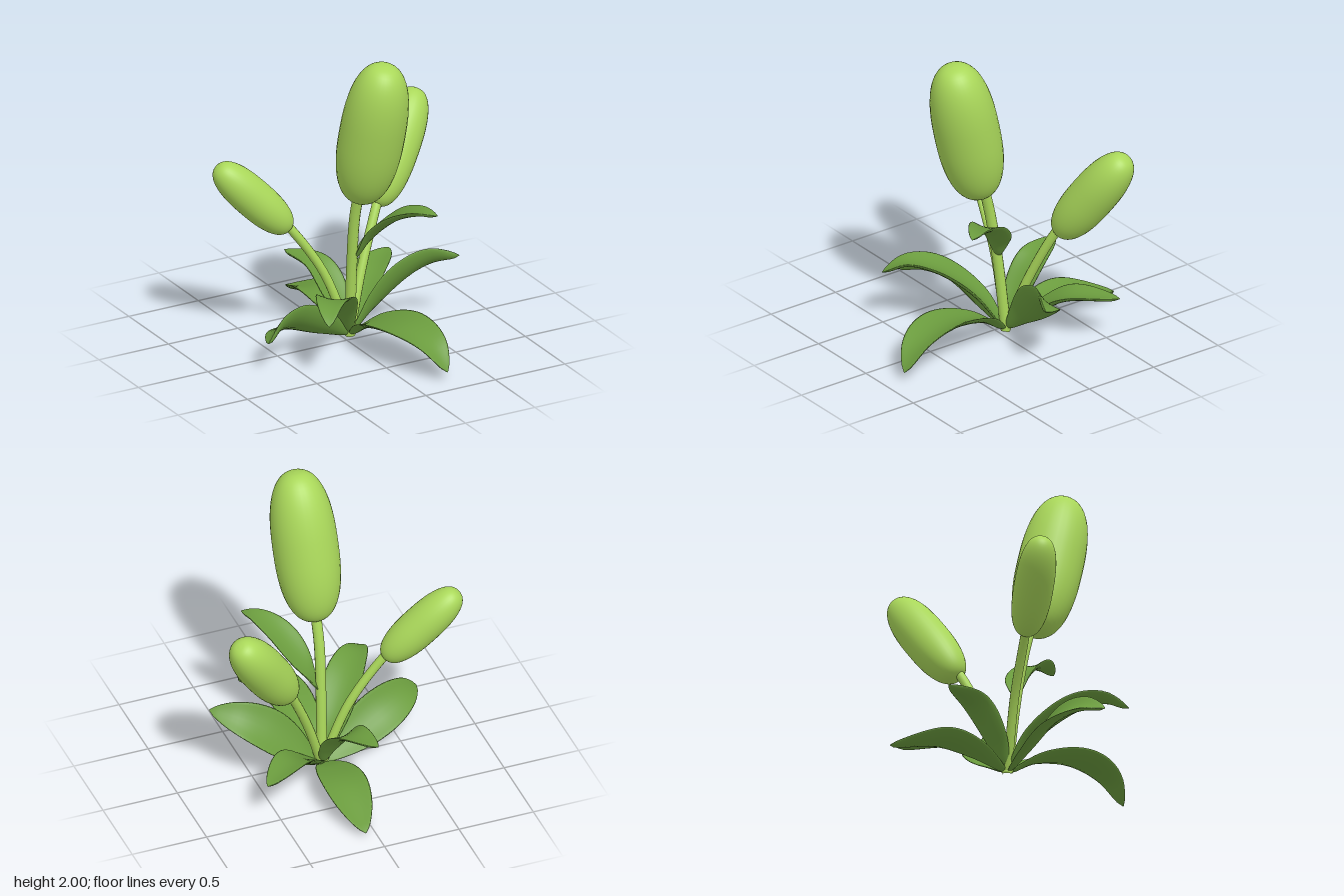
import * as THREE from 'three';

const V = (p) => new THREE.Vector3(...p);

// Rounded pod: superellipse of revolution laid along the line a-b
function makePod(a, b, r, mat) {
  const A = V(a), B = V(b);
  const dir = B.clone().sub(A);
  const H = dir.length() / 2 + r, n = 2.5, pts = [];
  for (let i = 0; i <= 32; i++) {
    const t = -Math.PI / 2 + (Math.PI * i) / 32;
    const s = Math.sin(t), c = Math.max(0, Math.cos(t));
    pts.push(new THREE.Vector2(
      i % 32 === 0 ? 0 : r * Math.pow(c, 2 / n),
      H * Math.sign(s) * Math.pow(Math.abs(s), 2 / n)));
  }
  const mesh = new THREE.Mesh(new THREE.LatheGeometry(pts, 32), mat);
  mesh.position.copy(A).add(B).multiplyScalar(0.5);
  mesh.quaternion.setFromUnitVectors(new THREE.Vector3(0, 1, 0), dir.normalize());
  return mesh;
}

// Curved stem
function makeStem(path, r, mat) {
  const curve = new THREE.CatmullRomCurve3(path.map(V));
  return new THREE.Mesh(new THREE.TubeGeometry(curve, 20, r, 12), mat);
}

// Fleshy leaf: channelled lens section swept along the midrib
function makeLeaf(path, halfWidth, roll, mat) {
  const curve = new THREE.CatmullRomCurve3(path.map(V));
  const rows = 28, cols = 20, pos = [], idx = [];
  const up = new THREE.Vector3(0, 1, 0);
  for (let i = 0; i <= rows; i++) {
    const t = i / rows;
    const P = curve.getPointAt(t), T = curve.getTangentAt(t);
    const S0 = T.clone().cross(up).normalize(), N0 = S0.clone().cross(T);
    const S = S0.clone().multiplyScalar(Math.cos(roll)).addScaledVector(N0, Math.sin(roll));
    const N = S.clone().cross(T);
    const w = 0.004 + halfWidth * Math.pow(Math.max(0, Math.sin(Math.PI * Math.pow(t, 1.1))), 0.75);
    const thick = Math.min(0.016, w * 0.4);
    for (let j = 0; j < cols; j++) {
      const a = (2 * Math.PI * j) / cols, u = Math.cos(a);
      const h = thick * Math.sin(a) + 0.32 * w * (u * u - 0.4);
      const q = P.clone().addScaledVector(S, w * u).addScaledVector(N, h);
      pos.push(q.x, Math.max(0, q.y), q.z);
    }
  }
  for (let i = 0; i < rows; i++) {
    for (let j = 0; j < cols; j++) {
      const a = i * cols + j, b = i * cols + ((j + 1) % cols);
      idx.push(a, b, a + cols, b, b + cols, a + cols);
    }
  }
  // end caps
  for (let j = 1; j < cols - 1; j++) {
    const e = rows * cols;
    idx.push(0, j + 1, j, e, e + j, e + j + 1);
  }
  const g = new THREE.BufferGeometry();
  g.setAttribute('position', new THREE.Float32BufferAttribute(pos, 3));
  g.setIndex(idx);
  g.computeVertexNormals();
  return new THREE.Mesh(g, mat);
}

export function createModel() {
  const group = new THREE.Group();
  const lime = new THREE.MeshStandardMaterial({ color: 0xaad85a });
  lime.name = 'lime green';
  const green = new THREE.MeshStandardMaterial({ color: 0x6b9c3e, side: THREE.DoubleSide });
  green.name = 'leaf green';
  const add = (mesh, name) => { mesh.name = name; group.add(mesh); };
  const base = [0.05, 0.01, -0.05];

  // Pods on their stems
  const shoots = [
    { name: 'tall', a: [0.03, 1.2, 0.175], b: [0.055, 1.79, 0.32], r: 0.208,
      stem: [base, [0.035, 0.5, 0], [0.025, 0.85, 0.055], [0.03, 1.1, 0.12]], sr: 0.034 },
    { name: 'left', a: [0.425, 0.87, -0.285], b: [0.685, 1.265, -0.42], r: 0.148,
      stem: [base, [0.18, 0.4, -0.13], [0.34, 0.76, -0.225], [0.4, 0.86, -0.27]], sr: 0.03 },
    { name: 'right', a: [-0.425, 0.87, -0.155], b: [-0.705, 1.165, -0.23], r: 0.125,
      stem: [base, [-0.12, 0.46, -0.09], [-0.33, 0.78, -0.13], [-0.4, 0.86, -0.15]], sr: 0.029 },
  ];
  for (const s of shoots) {
    add(makePod(s.a, s.b, s.r, lime), s.name + 'Pod');
    add(makeStem(s.stem, s.sr, lime), s.name + 'Stem');
  }

  // Leaves: midrib points, half width, roll
  const root = [0.05, 0.015, -0.05];
  const leaves = [
    ['backLeaf', [root, [0.06, 0.11, -0.25], [0.07, 0.15, -0.5], [0.075, 0.035, -0.87]], 0.14, 0],
    ['frontLeaf', [root, [0.08, 0.17, 0.17], [0.13, 0.25, 0.5], [0.19, 0.2, 0.74], [0.23, 0.06, 0.87]], 0.155, -0.1],
    ['rightLeaf', [root, [-0.15, 0.12, -0.01], [-0.4, 0.24, 0.05], [-0.58, 0.26, 0.14], [-0.7, 0.215, 0.24]], 0.14, -0.8],
    ['frontRightLeaf', [root, [-0.08, 0.25, 0.07], [-0.24, 0.43, 0.27], [-0.36, 0.46, 0.42], [-0.44, 0.39, 0.55]], 0.12, 0],
    ['leftLeaf', [root, [0.2, 0.16, -0.07], [0.42, 0.36, -0.03], [0.58, 0.45, 0.03], [0.73, 0.475, 0.14]], 0.135, 0.8],
    ['stemLeaf', [[0.04, 0.53, 0.0], [0.12, 0.7, 0.06], [0.23, 0.88, 0.22], [0.32, 0.94, 0.36], [0.39, 0.935, 0.46]], 0.105, 0],
    ['backLeftLeaf', [root, [0.17, 0.15, -0.17], [0.34, 0.29, -0.31], [0.6, 0.305, -0.53]], 0.11, 0],
    ['backRightLeaf', [root, [0.02, 0.2, -0.15], [-0.03, 0.4, -0.33], [-0.13, 0.435, -0.56]], 0.11, 0],
  ];
  for (const [name, path, w, roll] of leaves) add(makeLeaf(path, w, roll, green), name);

  return group;
}
